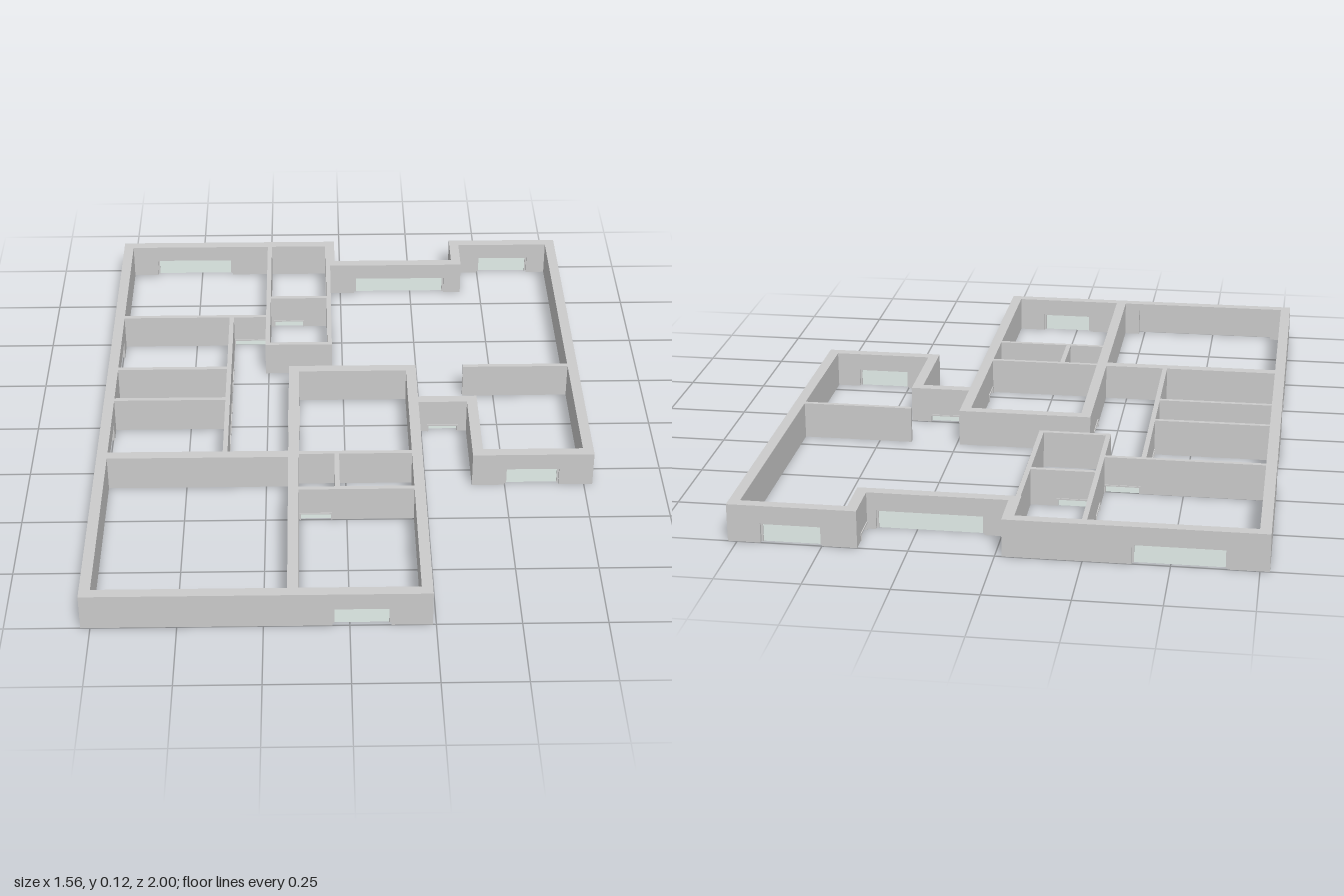
import * as THREE from 'three';

const H = 0.115;         // wall height
const WIN = 0.06;        // window opening height
const DOOR = 0.025;      // door opening height
const grey = new THREE.MeshStandardMaterial({ color: 0xcccccc });
const pale = new THREE.MeshStandardMaterial({ color: 0xe3eeea });

const win = (a, b) => ({ a, b, h: WIN, kind: 'window' });
const door = (a, b) => ({ a, b, h: DOOR, kind: 'door' });

// Extrudes a shape drawn in (run, height) to a thickness, centred on depth 0
function slab(name, shape, thick, material) {
  const geo = new THREE.ExtrudeGeometry(shape, { depth: thick, bevelEnabled: false });
  geo.translate(0, 0, -thick / 2);
  const mesh = new THREE.Mesh(geo, material);
  mesh.name = name;
  return mesh;
}

function rect(a, b, y0, y1) {
  return new THREE.Shape([[a, y0], [b, y0], [b, y1], [a, y1]].map(p => new THREE.Vector2(...p)));
}

// U-shaped frame standing open at the floor, with a thin panel in it
function addFilling(group, o, thick) {
  const f = o.kind === 'door' ? 0.004 : 0.006;
  const pts = [[o.a, 0], [o.a + f, 0], [o.a + f, o.h - f], [o.b - f, o.h - f],
    [o.b - f, 0], [o.b, 0], [o.b, o.h], [o.a, o.h]];
  const frame = new THREE.Shape(pts.map(p => new THREE.Vector2(...p)));
  group.add(slab(o.kind + 'Frame', frame, o.kind === 'door' ? thick + 0.006 : thick * 0.4, grey));
  group.add(slab(o.kind + 'Panel', rect(o.a + f, o.b - f, 0, o.h - f), 0.004, pale));
}

// Wall over a plan rectangle; openings are notches at the floor along its run
function wall(name, x0, x1, z0, z1, openings = []) {
  const alongX = x1 - x0 > z1 - z0;
  const [s, e] = alongX ? [x0, x1] : [z0, z1];
  const thick = alongX ? z1 - z0 : x1 - x0;
  const pts = [[s, 0]];
  for (const o of openings) pts.push([o.a, 0], [o.a, o.h], [o.b, o.h], [o.b, 0]);
  pts.push([e, 0], [e, H], [s, H]);
  const group = new THREE.Group();
  group.name = name;
  group.add(slab(name + 'Body', new THREE.Shape(pts.map(p => new THREE.Vector2(...p))), thick, grey));
  for (const o of openings) {
    if (o.kind === 'garage') {
      // closed door flush with the outer face
      const panel = slab('garageDoor', rect(o.a, o.b, 0, o.h), 0.008, grey);
      panel.position.z = thick / 2 - 0.004;
      group.add(panel);
    } else addFilling(group, o, thick);
  }
  if (alongX) group.position.z = (z0 + z1) / 2;
  else {
    group.rotation.y = -Math.PI / 2;
    group.position.x = (x0 + x1) / 2;
  }
  return group;
}

export function createModel() {
  const model = new THREE.Group();
  model.name = 'housePlan';
  const T = 0.033;   // outer wall thickness
  const P = 0.015;   // partition thickness

  // x-running and z-running walls, given by their lower edge on the other axis
  const runX = (name, z, x0, x1, t, o) => model.add(wall(name, x0, x1, z, z + t, o));
  const runZ = (name, x, z0, z1, t, o) => model.add(wall(name, x, x + t, z0, z1, o));

  // Outer walls
  runZ('leftOuterWall', -0.778, -1, 1, T, [win(-0.42, -0.25), win(0.07, 0.24)]);
  runX('backBedroomWall', -1, -0.778, -0.02, T, [win(-0.66, -0.39)]);
  runZ('backStepWall', -0.053, -1, -0.83, T);
  runX('backLivingWall', -0.863, -0.053, 0.43, T, [win(0.05, 0.37)]);
  runZ('patioJogWall', 0.397, -1, -0.83, T, [door(-0.95, -0.87)]);
  runX('backWingWall', -1, 0.397, 0.777, T, [win(0.5, 0.68)]);
  runZ('rightOuterWall', 0.744, -1, 0.33, T);
  runX('frontWingWall', 0.297, 0.397, 0.777, T, [win(0.5, 0.67)]);
  runZ('wingSideWall', 0.397, 0, 0.33, T);
  runX('entryWall', 0, 0.21, 0.43, T, [door(0.27, 0.37)]);
  runX('frontOuterWall', 0.967, -0.778, 0.24, T,
    [{ a: -0.71, b: -0.23, h: 0.09, kind: 'garage' }, win(-0.05, 0.12)]);

  // Thick walls round the centre block
  runZ('centreRightWall', 0.207, -0.185, 1, T, [door(0.2, 0.29)]);
  runZ('centreLeftWall', -0.18, -0.185, 1, T, [door(-0.08, 0.03)]);
  runX('centreBackWall', -0.185, -0.18, 0.24, T);
  runX('garageBackWall', 0.295, -0.778, -0.15, T);

  // Partitions in the left rooms
  runZ('hallPartition', -0.385, -0.505, 0.3, P,
    [door(-0.31, -0.2), door(-0.11, 0), door(0.02, 0.13)]);
  runX('bedroomPartition', -0.505, -0.76, -0.245, P, [door(-0.37, -0.26)]);
  for (const z of [-0.185, -0.005]) runX('leftRoomPartition', z, -0.76, -0.37, P);

  // Partitions round the back bathroom
  runZ('bathLeftPartition', -0.26, -0.98, -0.315, P, [door(-0.74, -0.64)]);
  runZ('bathRightPartition', -0.051, -0.84, -0.315, P);
  runX('bathFrontPartition', -0.33, -0.26, -0.036, P);
  runX('bathMiddlePartition', -0.626, -0.26, -0.036, P, [door(-0.235, -0.13)]);

  // Partitions in the centre block and right wing
  runX('closetBackPartition', 0.298, -0.16, 0.22, P);
  runX('closetFrontPartition', 0.483, -0.16, 0.22, P, [door(-0.145, -0.045)]);
  runZ('closetPartition', -0.036, 0.3, 0.495, P);
  runX('wingPartition', -0.185, 0.397, 0.76, P);

  return model;
}
